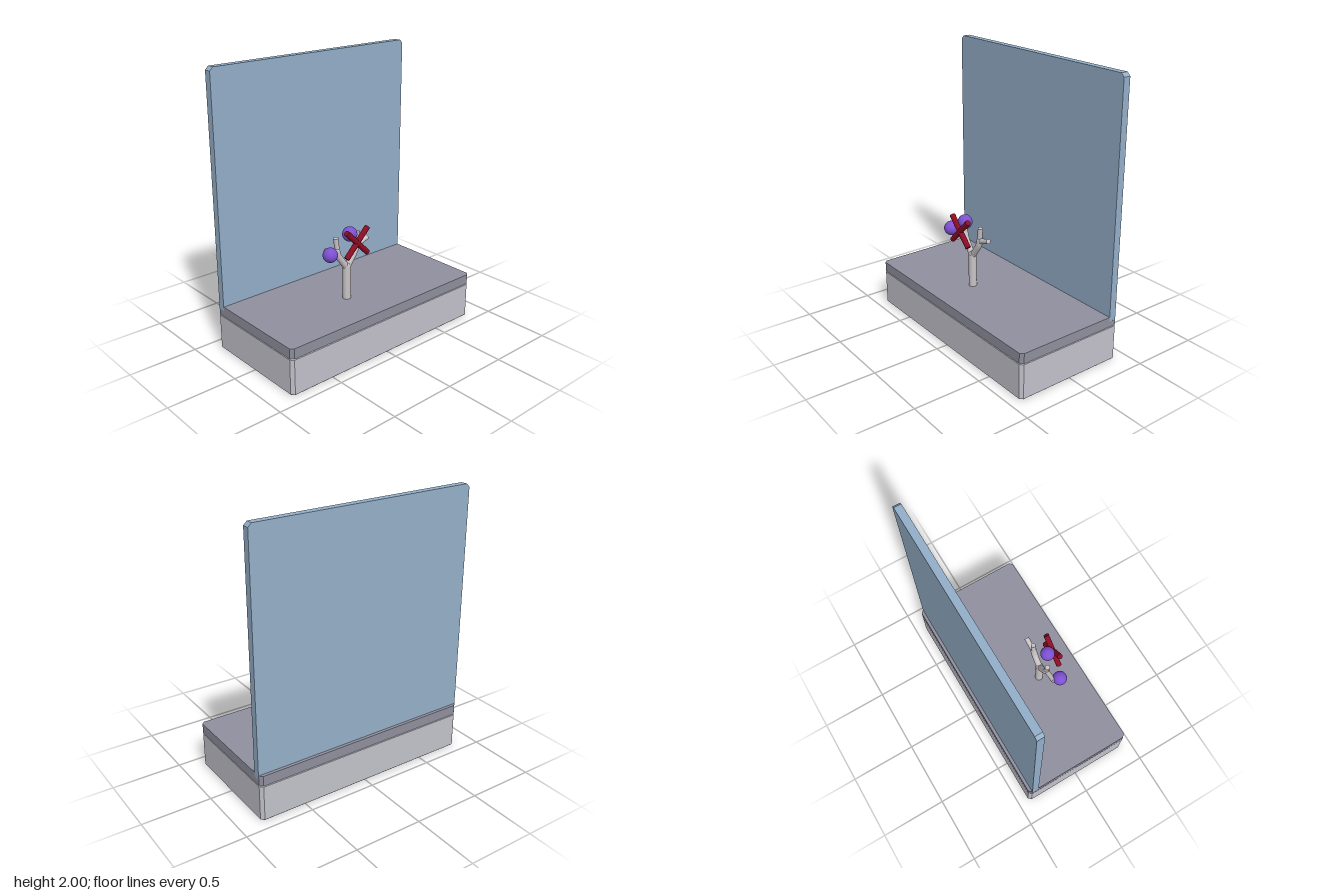
import * as THREE from 'three';

const material = (name, color) => {
  const m = new THREE.MeshStandardMaterial({ color });
  m.name = name;
  return m;
};

// Slab with chamfered corners in the XY plane and a small bevel on both faces, centred on z
function chamferedSlab(w, h, depth, c, bevel) {
  const x = w / 2 - bevel, y = h / 2 - bevel;
  const shape = new THREE.Shape([
    [-x + c, -y], [x - c, -y], [x, -y + c], [x, y - c],
    [x - c, y], [-x + c, y], [-x, y - c], [-x, -y + c],
  ].map(([a, b]) => new THREE.Vector2(a, b)));
  const geo = new THREE.ExtrudeGeometry(shape, {
    depth: depth - 2 * bevel, bevelEnabled: bevel > 0,
    bevelSize: bevel, bevelThickness: bevel, bevelSegments: 1,
  });
  return geo.translate(0, 0, -depth / 2 + bevel);
}

export function createModel() {
  const model = new THREE.Group();
  model.name = 'treeDisplay';
  const lightGrey = material('lightGrey', 0xc3c2cb);
  const slateGrey = material('slateGrey', 0x8f909e);
  const blue = material('paleBlue', 0x94afc9);
  const bark = material('paleBark', 0xc9c3c6);
  const purple = material('purple', 0x7d50d2);
  const red = material('darkRed', 0x8c0c24);

  const add = (parent, name, geo, mat, x = 0, y = 0, z = 0) => {
    const mesh = new THREE.Mesh(geo, mat);
    mesh.name = name;
    mesh.position.set(x, y, z);
    parent.add(mesh);
    return mesh;
  };

  // Base, deck and back panel
  add(model, 'base', chamferedSlab(1.68, 0.84, 0.265, 0.018, 0.006).rotateX(-Math.PI / 2), lightGrey, 0, 0.1325, 0);
  add(model, 'deck', chamferedSlab(1.68, 0.84, 0.073, 0.022, 0).rotateX(-Math.PI / 2), slateGrey, 0, 0.3035, 0);
  add(model, 'backPanel', chamferedSlab(1.682, 1.715, 0.053, 0.024, 0), blue, 0, 1.1425, -0.3705);

  // Tree: trunk with two mirrored forks, each ending in two twigs
  const tree = new THREE.Group();
  tree.name = 'tree';
  tree.position.set(-0.107, 0, 0.105);
  model.add(tree);
  add(tree, 'trunk', new THREE.CylinderGeometry(0.029, 0.029, 0.25, 24), bark, 0, 0.463, 0);

  const rod = (parent, name, from, to, r, mat) => {
    const dir = to.clone().sub(from);
    const mid = from.clone().add(to).multiplyScalar(0.5);
    const mesh = add(parent, name, new THREE.CylinderGeometry(r, r, dir.length(), 20), mat, mid.x, mid.y, mid.z);
    mesh.quaternion.setFromUnitVectors(new THREE.Vector3(0, 1, 0), dir.normalize());
  };

  for (const s of [-1, 1]) {
    const side = s > 0 ? 'left' : 'right';
    const p = (x, y) => new THREE.Vector3(s * x, y, 0);
    const fork = new THREE.CatmullRomCurve3([p(0, 0.575), p(0.045, 0.635), p(0.078, 0.685), p(0.09, 0.725)]);
    add(tree, side + 'Branch', new THREE.TubeGeometry(fork, 20, 0.023, 16), bark);
    add(tree, side + 'BranchTip', new THREE.SphereGeometry(0.023, 16, 12), bark, s * 0.09, 0.725, 0);
    rod(tree, side + 'UpperTwig', p(0.086, 0.72), p(0.098, 0.82), 0.018, bark);
    rod(tree, side + 'OuterTwig', p(0.088, 0.718), p(0.19, 0.752), 0.018, bark);
  }
  add(tree, 'forkJoint', new THREE.SphereGeometry(0.029, 20, 14), bark, 0, 0.585, 0);

  // Round fruit
  for (const [x, y] of [[-0.297, 0.738], [-0.123, 0.845]])
    add(model, 'fruit', new THREE.SphereGeometry(0.052, 32, 20), purple, x, y, 0.155);

  // Crossed bars in front of the branches
  for (const s of [-1, 1]) {
    const bar = add(model, 'crossBar', new THREE.CylinderGeometry(0.02, 0.02, 0.267, 20), red, -0.105, 0.792, 0.21);
    bar.rotation.z = s * Math.PI / 4;
  }
  return model;
}
